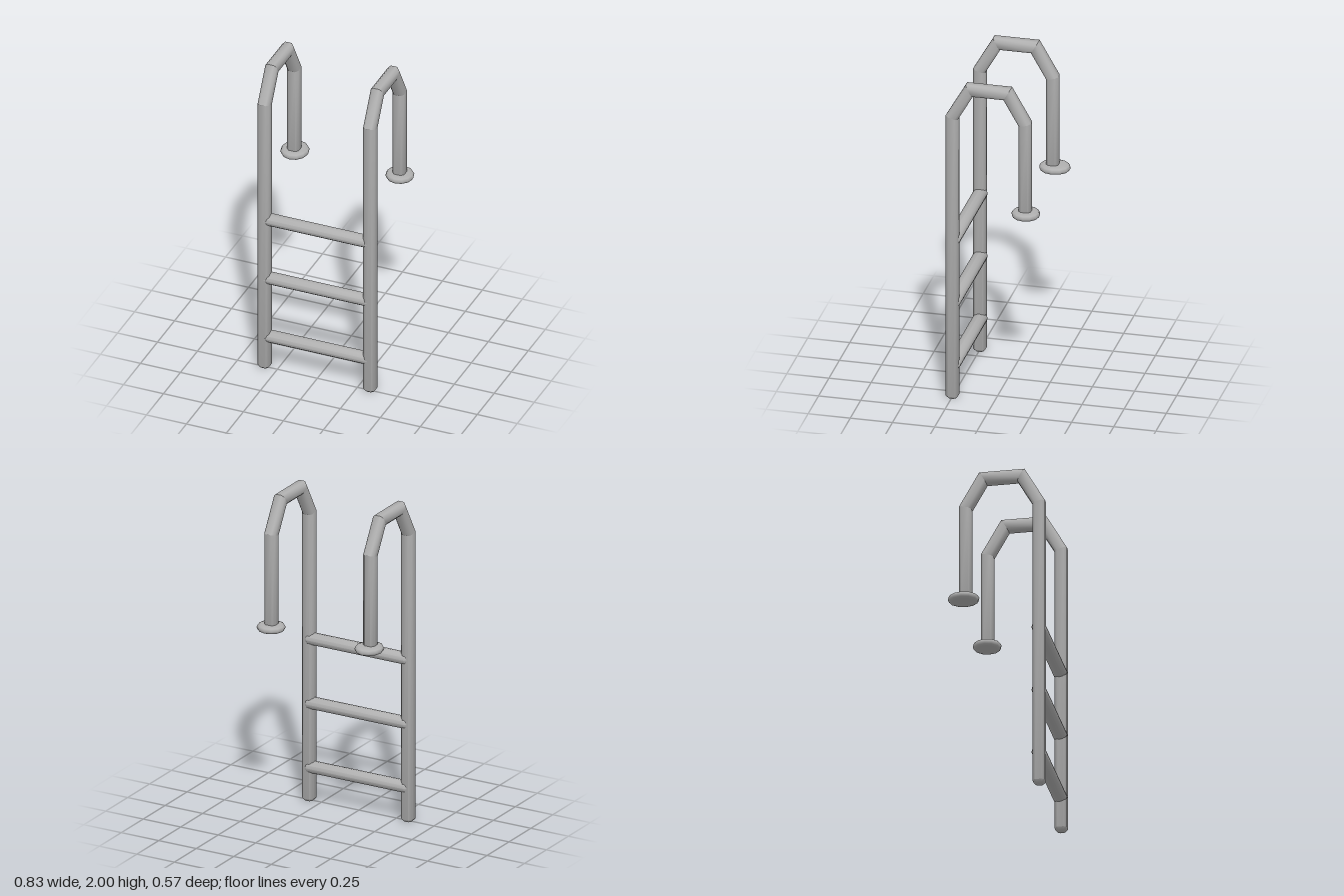
import * as THREE from 'three';
import { mergeGeometries, toCreasedNormals } from 'three/addons/utils/BufferGeometryUtils.js';

const steel = new THREE.MeshStandardMaterial({ color: 0xb0b0b0 });
steel.name = 'brushed steel';

// Rounded eight-sided tube section
const R = 0.036, F = 0.02;
const section = [[R, -F], [R, F], [F, R], [-F, R], [-R, F], [-R, -F], [-F, -R], [F, -R]];

// Skin consecutive rings; a one-point ring closes an end
function skin(rings) {
  const pos = [];
  const tri = (...pts) => pts.forEach(p => pos.push(p.x, p.y, p.z));
  for (let i = 0; i + 1 < rings.length; i++) {
    const a = rings[i], b = rings[i + 1];
    const n = Math.max(a.length, b.length);
    for (let j = 0; j < n; j++) {
      const k = (j + 1) % n;
      if (a.length === 1) tri(a[0], b[k], b[j]);
      else if (b.length === 1) tri(a[j], a[k], b[0]);
      else {
        tri(a[j], a[k], b[k]);
        tri(a[j], b[k], b[j]);
      }
    }
  }
  const g = new THREE.BufferGeometry();
  g.setAttribute('position', new THREE.Float32BufferAttribute(pos, 3));
  return toCreasedNormals(g, 0.9);
}

// Mitred tube along a path in the YZ plane, with chamfered ends
function bentTube(path) {
  const xAxis = new THREE.Vector3(1, 0, 0);
  const dirs = path.slice(1).map((p, i) => p.clone().sub(path[i]).normalize());
  const ring = (c, t, stretch, s) => {
    const v = t.clone().cross(xAxis).multiplyScalar(stretch * s);
    return section.map(([a, b]) => c.clone().addScaledVector(xAxis, a * s).addScaledVector(v, b));
  };
  const mitre = path.map((p, i) => {
    const d0 = dirs[Math.max(i - 1, 0)], d1 = dirs[Math.min(i, dirs.length - 1)];
    const t = d0.clone().add(d1).normalize();
    return ring(p, t, 1 / t.dot(d0), 1);
  });
  const parts = dirs.map((d, i) => {
    const rings = [mitre[i], mitre[i + 1]];
    const bevel = 0.016;
    if (i === 0) {
      rings[0] = ring(path[0].clone().addScaledVector(d, bevel), d, 1, 1);
      rings.unshift([path[0]], ring(path[0], d, 1, 0.62));
    }
    if (i === dirs.length - 1) {
      const end = path[i + 1];
      rings[rings.length - 1] = ring(end.clone().addScaledVector(d, -bevel), d, 1, 1);
      rings.push(ring(end, d, 1, 0.62), [end]);
    }
    return skin(rings);
  });
  return mergeGeometries(parts);
}

const lathe = (profile, sides) =>
  new THREE.LatheGeometry(profile.map(p => new THREE.Vector2(...p)), sides);

export function createModel() {
  const model = new THREE.Group();
  model.name = 'poolLadder';
  const add = (name, geometry, x, y, z) => {
    const mesh = new THREE.Mesh(geometry, steel);
    mesh.name = name;
    mesh.position.set(x, y, z);
    model.add(mesh);
  };

  // Side rails: up the front, over the hoop and down to the deck
  const path = [[0, 0.248], [1.783, 0.248], [1.964, 0.144], [1.964, -0.08], [1.783, -0.184], [1.2, -0.184]]
    .map(([y, z]) => new THREE.Vector3(0, y, z));
  const rail = bentTube(path);

  // Rounded deck flange
  const flange = lathe([[0, 1.191], [0.06, 1.191], [0.077, 1.198], [0.084, 1.213],
    [0.077, 1.227], [0.06, 1.234], [0, 1.234]], 12);

  for (const [side, x, z, depth] of [['left', 0.33, -0.187, 1], ['right', -0.33, -0.196, 1.1]]) {
    add(side + 'Rail', rail, x, 0, 0);
    const foot = flange.clone().scale(1, 1, depth);
    add(side + 'DeckFlange', foot, x, 0, z);
  }

  // Rungs, slightly deeper than tall, running into the rails
  const rung = toCreasedNormals(
    lathe([[0, -0.348], [0.02, -0.348], [0.036, -0.325], [0.036, 0.325], [0.02, 0.348], [0, 0.348]], 12), 0.7);
  rung.rotateZ(Math.PI / 2).scale(1, 1, 1.17);
  [0.21, 0.605, 1.002].forEach((y, i) => add('rung' + (i + 1), rung, 0, y, 0.243));

  return model;
}
